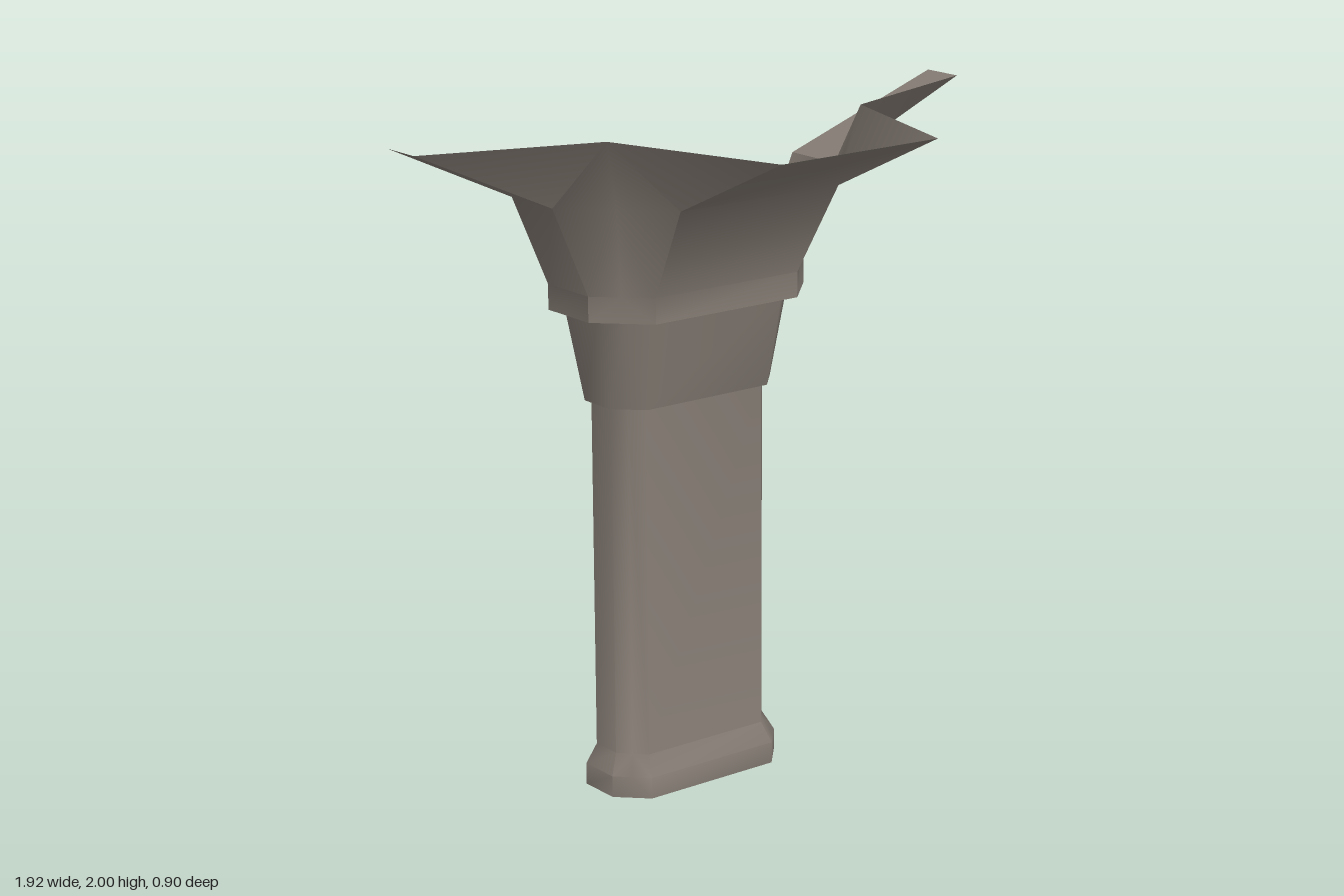
import * as THREE from 'three';
import { toCreasedNormals } from 'three/addons/utils/BufferGeometryUtils.js';

const mid = (a, b) => a.map((v, i) => (v + b[i]) / 2);

// U-shaped cross-section, open at the back, with chamfered front corners
function ring(y, xMin, xMax, back, sideZ, frontMin, frontMax, front) {
  const sideR = [xMin, y, sideZ], frontR = [frontMin, y, front];
  const frontL = [frontMax, y, front], sideL = [xMax, y, sideZ];
  return [
    [xMin, y, back], sideR, mid(sideR, frontR), frontR,
    frontL, mid(frontL, sideL), sideL, [xMax, y, back],
  ];
}

// Sheet lofted through the cross-sections from bottom to top
function loft(name, rings, material, crease) {
  const n = rings[0].length;
  const index = [];
  for (let r = 0; r < rings.length - 1; r++) {
    for (let i = 0; i < n - 1; i++) {
      const a = r * n + i, b = a + 1, c = b + n, d = a + n;
      // the diagonals fan out from the middle of each chamfer
      if (i === 2 || i === 5) index.push(a, b, d, b, c, d);
      else index.push(a, b, c, a, c, d);
    }
  }
  const geometry = new THREE.BufferGeometry();
  geometry.setAttribute('position', new THREE.Float32BufferAttribute(rings.flat(2), 3));
  geometry.setIndex(index);
  const mesh = new THREE.Mesh(toCreasedNormals(geometry, crease), material);
  mesh.name = name;
  return mesh;
}

export function createModel() {
  const stone = new THREE.MeshStandardMaterial({ color: 0x857c74, side: THREE.DoubleSide });
  stone.name = 'warm grey stone';

  const column = (y) => ring(y, -0.288, 0.26, -0.403, -0.307, -0.22, 0.2, -0.235);
  const foot = (y) => ring(y, -0.318, 0.29, -0.416, -0.285, -0.235, 0.215, -0.203);
  const collarTop = ring(1.455, -0.355, 0.33, -0.432, -0.275, -0.243, 0.22, -0.167);
  const flareBase = (y) => ring(y, -0.4, 0.375, -0.448, -0.255, -0.265, 0.242, -0.122);

  // Star-shaped rim: two side wings and a front lip with valleys between
  const rim = [
    [-0.965, 2, -0.37], [-0.965, 2, -0.24], [-0.455, 2, -0.08], [-0.28, 2, 0.45],
    [0.27, 2, 0.44], [0.43, 2, -0.07], [0.96, 2, -0.25], [0.96, 2, -0.38],
  ];

  const group = new THREE.Group();
  group.name = 'flaredHalfColumn';
  group.add(
    loft('shaft', [foot(0), foot(0.065), column(0.125), column(1.18)], stone, 0.9),
    // collar and flare each start with the ledge that joins them to the part below
    loft('collar', [
      column(1.18),
      ring(1.18, -0.305, 0.28, -0.412, -0.295, -0.227, 0.207, -0.217),
      collarTop,
    ], stone, 0.9),
    loft('flare', [
      collarTop, flareBase(1.455), flareBase(1.53),
      ring(1.795, -0.515, 0.49, -0.45, -0.255, -0.265, 0.295, -0.005),
      rim,
    ], stone, 0.75),
  );
  return group;
}
